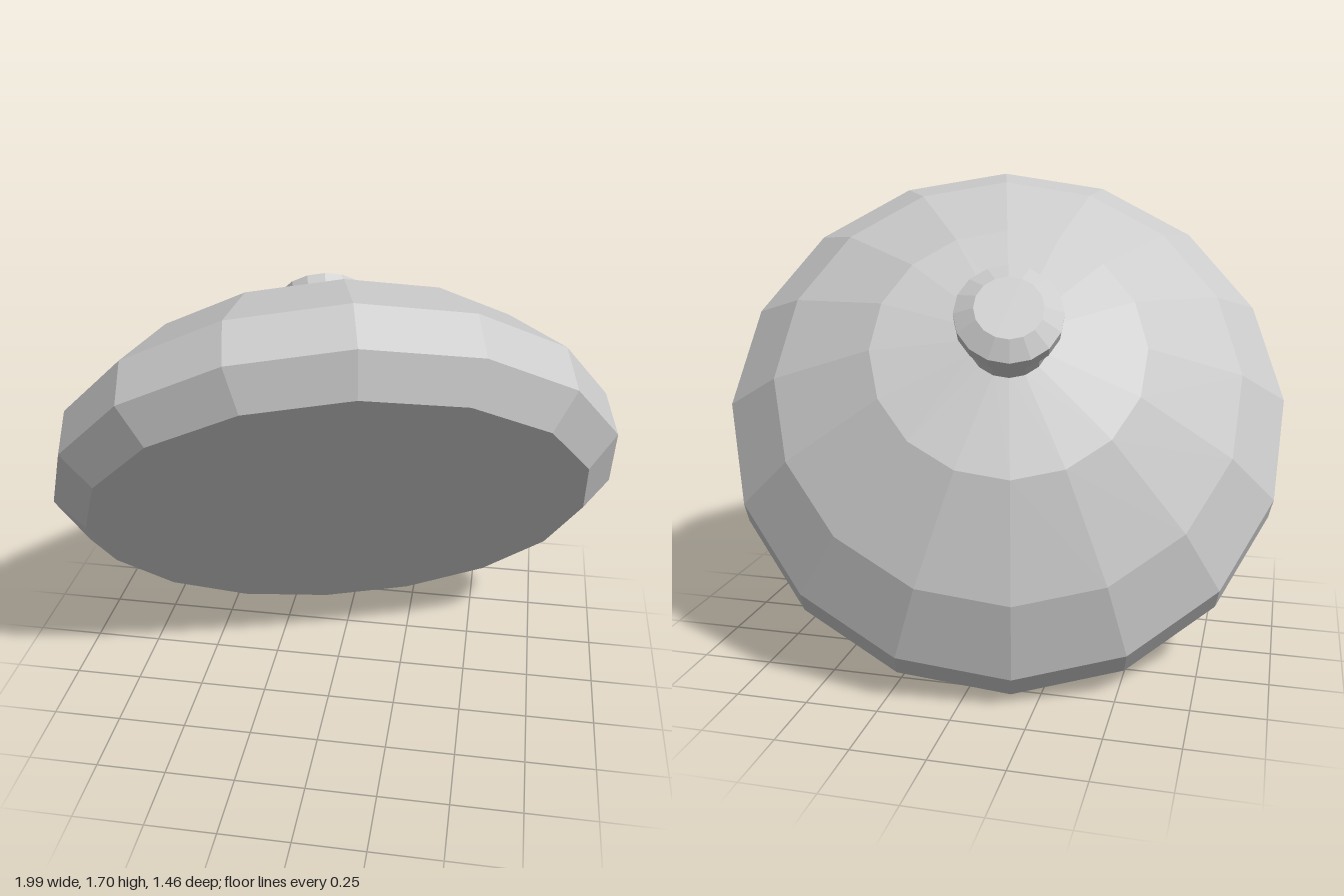
import * as THREE from 'three';

const SIDES = 16;

// Faceted solid of revolution from [radius, height] pairs, bottom to top
function turned(name, profile) {
  const points = profile.map(([r, h]) => new THREE.Vector2(r, h));
  const material = new THREE.MeshStandardMaterial({ color: 0xcccccc, flatShading: true });
  const mesh = new THREE.Mesh(new THREE.LatheGeometry(points, SIDES), material);
  mesh.name = name;
  return mesh;
}

export function createModel() {
  const lid = new THREE.Group();
  lid.name = 'lid';

  // Flat underside, bevelled rim and domed top
  lid.add(turned('dome', [
    [0, 0], [0.9, 0], [1.015, 0.105], [1.0, 0.268],
    [0.81, 0.478], [0.46, 0.687], [0.13, 0.752], [0, 0.77],
  ]));

  // Narrow stem under a wider bevelled cap
  lid.add(turned('knob', [
    [0, 0.72], [0.135, 0.72], [0.137, 0.845], [0.172, 0.88],
    [0.174, 0.93], [0.11, 0.967], [0, 0.967],
  ]));

  // Lean the lid back, with one corner of the rim on the floor
  const axis = new THREE.Vector3(-0.19, 0.61, -0.769).normalize();
  const down = new THREE.Vector3(-0.14, -0.71, -0.54);
  down.addScaledVector(axis, -down.dot(axis)).normalize();
  const side = new THREE.Vector3().crossVectors(axis, down);
  lid.quaternion.setFromRotationMatrix(new THREE.Matrix4().makeBasis(side, axis, down));
  lid.position.set(0.025, 0.742, 0.15);

  const model = new THREE.Group();
  model.name = 'leaningLid';
  model.add(lid);
  return model;
}
